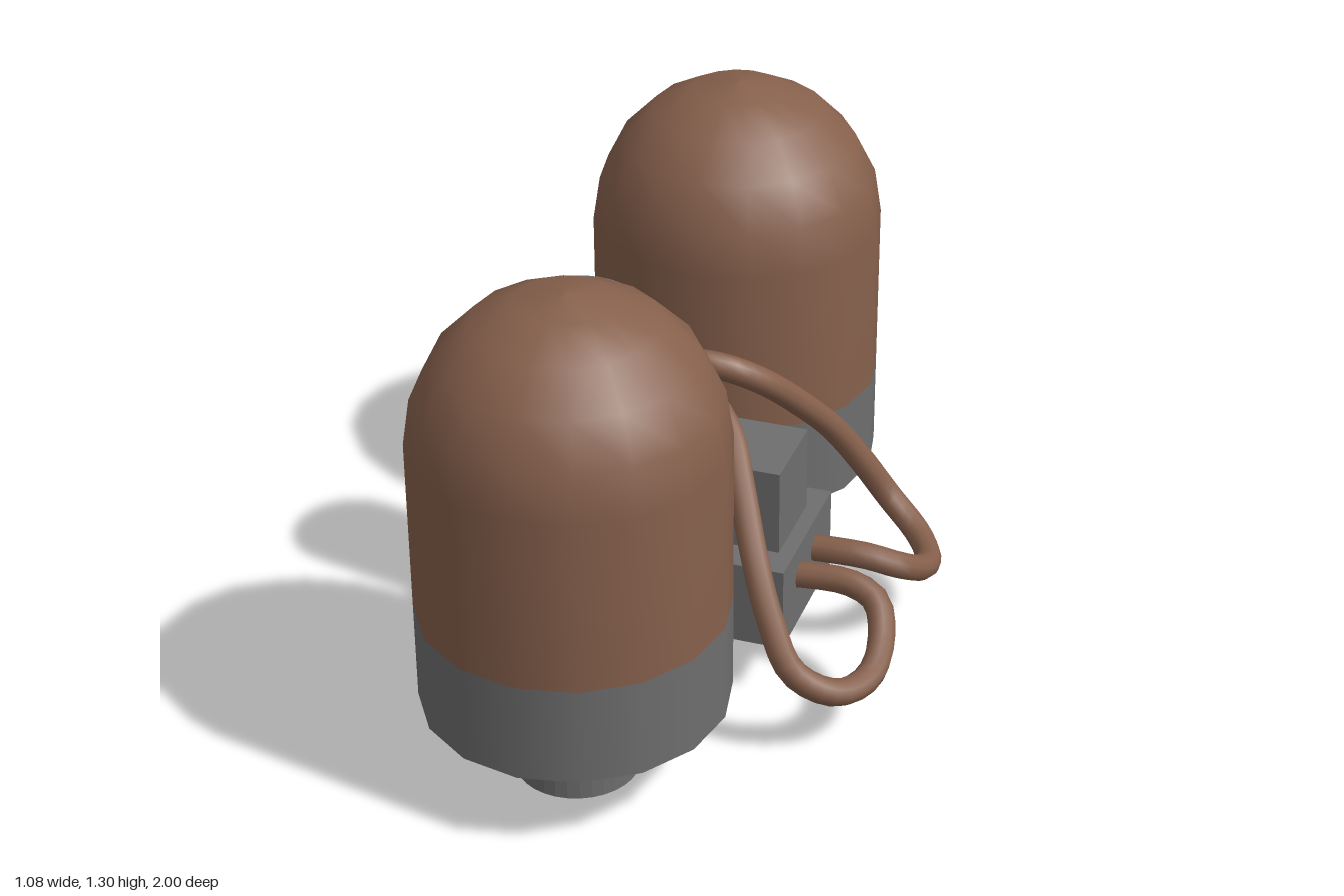
import * as THREE from 'three';

const brown = new THREE.MeshStandardMaterial({ color: 0x86604c });
brown.name = 'brown';
const gray = new THREE.MeshStandardMaterial({ color: 0x6e6e6e });
gray.name = 'gray';

const AXIS_X = -0.15, TANK_Z = 0.618, TANK_R = 0.382;

function add(parent, name, geometry, material, x = 0, y = 0, z = 0) {
  const mesh = new THREE.Mesh(geometry, material);
  mesh.name = name;
  mesh.position.set(x, y, z);
  parent.add(mesh);
  return mesh;
}

// Domed tank: brown shell over a gray footing
function tank(side) {
  const group = new THREE.Group();
  group.name = side > 0 ? 'frontTank' : 'backTank';
  group.position.set(AXIS_X, 0, side * TANK_Z);
  add(group, 'tankFooting', new THREE.CylinderGeometry(TANK_R, TANK_R, 0.255, 16), gray, 0, 0.3475, 0);
  const profile = [new THREE.Vector2(TANK_R, 0.475)];
  for (let i = 0; i <= 5; i++) {
    const a = (i / 5) * Math.PI / 2;
    profile.push(new THREE.Vector2(i === 5 ? 0 : TANK_R * Math.cos(a), 0.92 + TANK_R * Math.sin(a)));
  }
  add(group, 'tankShell', new THREE.LatheGeometry(profile, 16), brown);
  return group;
}

// Bar with rounded, wider ends that links both tanks underneath
function linkBar() {
  const neck = 0.11, wide = 0.155, end = TANK_Z;
  const s = new THREE.Shape();
  s.moveTo(neck, -0.4);
  s.lineTo(neck, 0.4);
  s.bezierCurveTo(neck, 0.47, wide, 0.47, wide, end);
  s.absarc(0, end, wide, 0, Math.PI, false);
  s.bezierCurveTo(-wide, 0.47, -neck, 0.47, -neck, 0.4);
  s.lineTo(-neck, -0.4);
  s.bezierCurveTo(-neck, -0.47, -wide, -0.47, -wide, -end);
  s.absarc(0, -end, wide, Math.PI, Math.PI * 2, false);
  s.bezierCurveTo(wide, -0.47, neck, -0.47, neck, -0.4);
  const geometry = new THREE.ExtrudeGeometry(s, { depth: 0.22, bevelEnabled: false, curveSegments: 8 });
  return geometry.rotateX(-Math.PI / 2);
}

// Looping hose from the column down to the end of the block
function hose(side) {
  const points = [
    [-0.27, 0.775, 0.07], [-0.1, 0.775, 0.068], [0, 0.765, 0.08], [0.08, 0.71, 0.135],
    [0.145, 0.61, 0.23], [0.21, 0.49, 0.33], [0.27, 0.37, 0.395], [0.34, 0.25, 0.43],
    [0.435, 0.18, 0.385], [0.49, 0.17, 0.29], [0.495, 0.205, 0.185],
    [0.455, 0.265, 0.09], [0.38, 0.29, 0.067], [0.2, 0.285, 0.067],
  ].map(([x, y, z]) => new THREE.Vector3(x, y, z * side));
  return new THREE.TubeGeometry(new THREE.CatmullRomCurve3(points), 48, 0.035, 10);
}

export function createModel() {
  const model = new THREE.Group();
  model.name = 'twinTankUnit';

  // Central block, raised box and column
  add(model, 'linkBar', linkBar(), gray, AXIS_X, 0, 0);
  add(model, 'centralBlock', new THREE.BoxGeometry(0.79, 0.225, 0.41), gray, -0.15, 0.2625, 0);
  add(model, 'raisedBox', new THREE.BoxGeometry(0.405, 0.23, 0.235), gray, 0.0025, 0.4875, 0);
  add(model, 'column', new THREE.CylinderGeometry(0.162, 0.162, 0.55, 32), gray, -0.37, 0.645, 0);

  for (const side of [1, -1]) {
    model.add(tank(side));
    add(model, side > 0 ? 'frontHose' : 'backHose', hose(side), brown);
  }
  return model;
}
